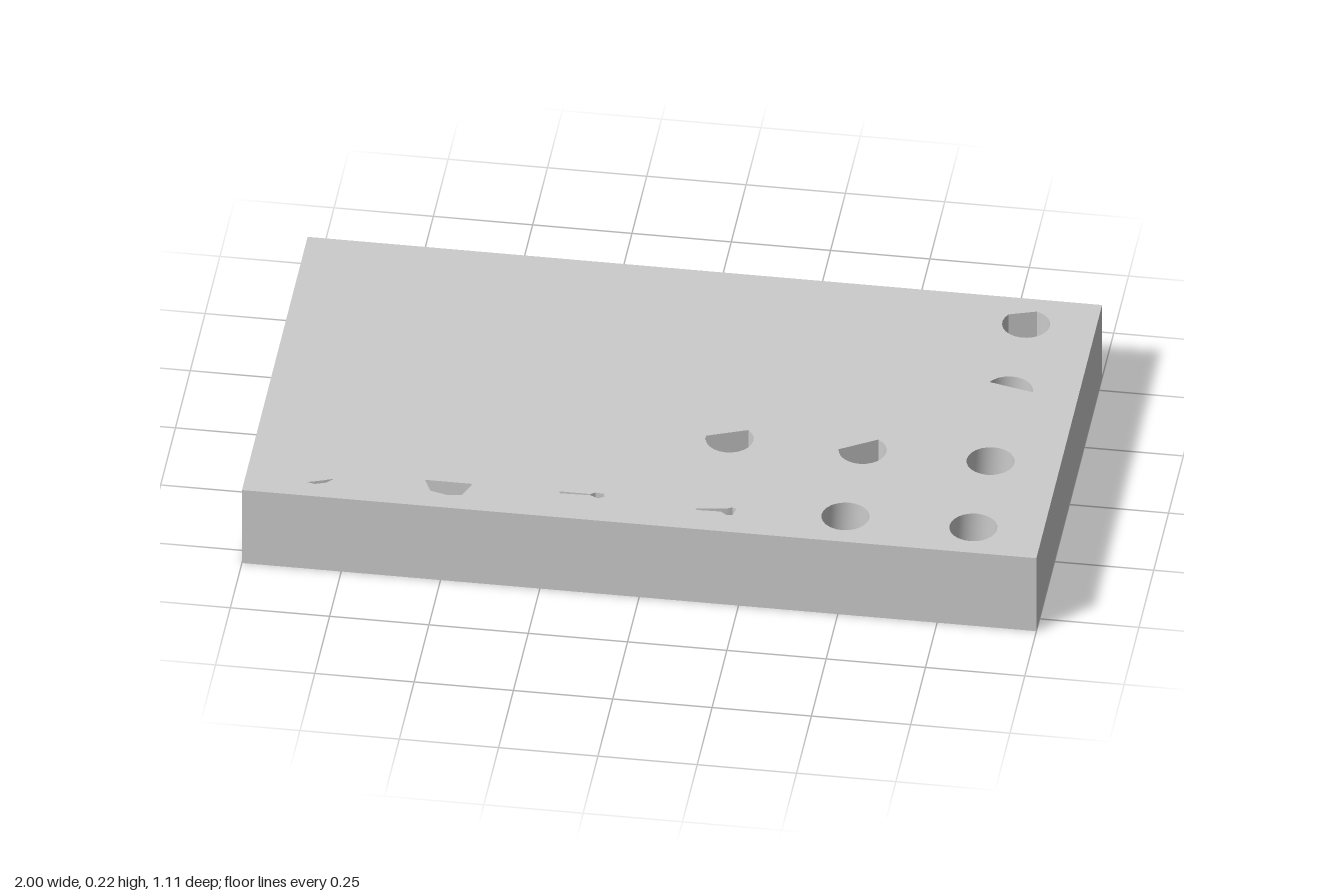
import * as THREE from 'three';
import { toCreasedNormals } from 'three/addons/utils/BufferGeometryUtils.js';

const W = 2, H = 0.222, D = 1.108; // block size
const DEPTH = 0.11;                // pit depth
const R = 0.06;                    // pit radius

// Round pit outline, or the part of it between two angles closed by a chord
function roundPit(x, z, from = 0, to = 360) {
  const full = to - from === 360;
  const n = Math.max(8, Math.round((to - from) / 15));
  const pts = [];
  for (let i = 0; i < (full ? n : n + 1); i++) {
    const a = THREE.MathUtils.degToRad(from + (to - from) * i / n);
    pts.push(new THREE.Vector2(x + R * Math.cos(a), -z + R * Math.sin(a)));
  }
  return pts;
}

// Irregular pit outline from x, z pairs, always counter-clockwise
function slotPit(pairs) {
  const pts = pairs.map(([x, z]) => new THREE.Vector2(x, -z));
  return THREE.ShapeUtils.isClockWise(pts) ? pts.reverse() : pts;
}

// Inward-facing wall of a pit
function pitWall(pts) {
  const pos = [];
  pts.forEach((p, i) => {
    const q = pts[(i + 1) % pts.length];
    const a = [p.x, H, -p.y], b = [q.x, H, -q.y];
    const c = [q.x, H - DEPTH, -q.y], d = [p.x, H - DEPTH, -p.y];
    pos.push(...a, ...b, ...c, ...a, ...c, ...d);
  });
  const g = new THREE.BufferGeometry();
  g.setAttribute('position', new THREE.Float32BufferAttribute(pos, 3));
  return toCreasedNormals(g, Math.PI / 6);
}

// Horizontal, upward-facing sheet
const sheet = (shape, y) => new THREE.ShapeGeometry(shape).rotateX(-Math.PI / 2).translate(0, y, 0);

export function createModel() {
  const group = new THREE.Group();
  const material = new THREE.MeshStandardMaterial({ color: 0xcccccc });
  const add = (name, geometry, parent = group) => {
    const mesh = new THREE.Mesh(geometry, material);
    mesh.name = name;
    parent.add(mesh);
  };

  const pits = [
    // Full rounds
    roundPit(0.825, 0.445),
    roundPit(0.503, 0.445),
    roundPit(0.825, 0.155),
    // Rounds cut by a chord
    roundPit(0.825, -0.445, 145, 432),
    roundPit(0.825, -0.155, 0, 152),
    roundPit(0.503, 0.155, 185, 418),
    roundPit(0.168, 0.155, 176, 407),
    // Narrow slots along the front edge
    slotPit([[0.128, 0.467], [0.203, 0.456], [0.219, 0.448], [0.23, 0.453], [0.225, 0.48], [0.209, 0.483], [0.193, 0.47], [0.134, 0.472]]),
    slotPit([[-0.219, 0.443], [-0.139, 0.443], [-0.128, 0.435], [-0.107, 0.437], [-0.102, 0.448], [-0.118, 0.459], [-0.139, 0.448], [-0.214, 0.451]]),
    slotPit([[-0.556, 0.443], [-0.436, 0.443], [-0.455, 0.494], [-0.492, 0.499], [-0.535, 0.488]]),
    slotPit([[-0.845, 0.496], [-0.807, 0.483], [-0.781, 0.472], [-0.797, 0.491], [-0.824, 0.501]]),
  ];

  // Block sides and underside: a box with its top face (third of six) left out
  const body = new THREE.BoxGeometry(W, H, D).translate(0, H / 2, 0);
  const index = [...body.index.array];
  index.splice(12, 6);
  body.setIndex(index);
  body.clearGroups();
  add('blockBody', body);

  // Top face pierced by the pit outlines
  const top = new THREE.Shape([[-1, -1], [1, -1], [1, 1], [-1, 1]]
    .map(([sx, sy]) => new THREE.Vector2(sx * W / 2, sy * D / 2)));
  top.holes = pits.map((pts) => new THREE.Path(pts));
  add('topFace', sheet(top, H));

  // Blind pits
  pits.forEach((pts, i) => {
    const pit = new THREE.Group();
    pit.name = `pit${i + 1}`;
    add('pitWall', pitWall(pts), pit);
    add('pitFloor', sheet(new THREE.Shape(pts), H - DEPTH), pit);
    group.add(pit);
  });

  return group;
}
